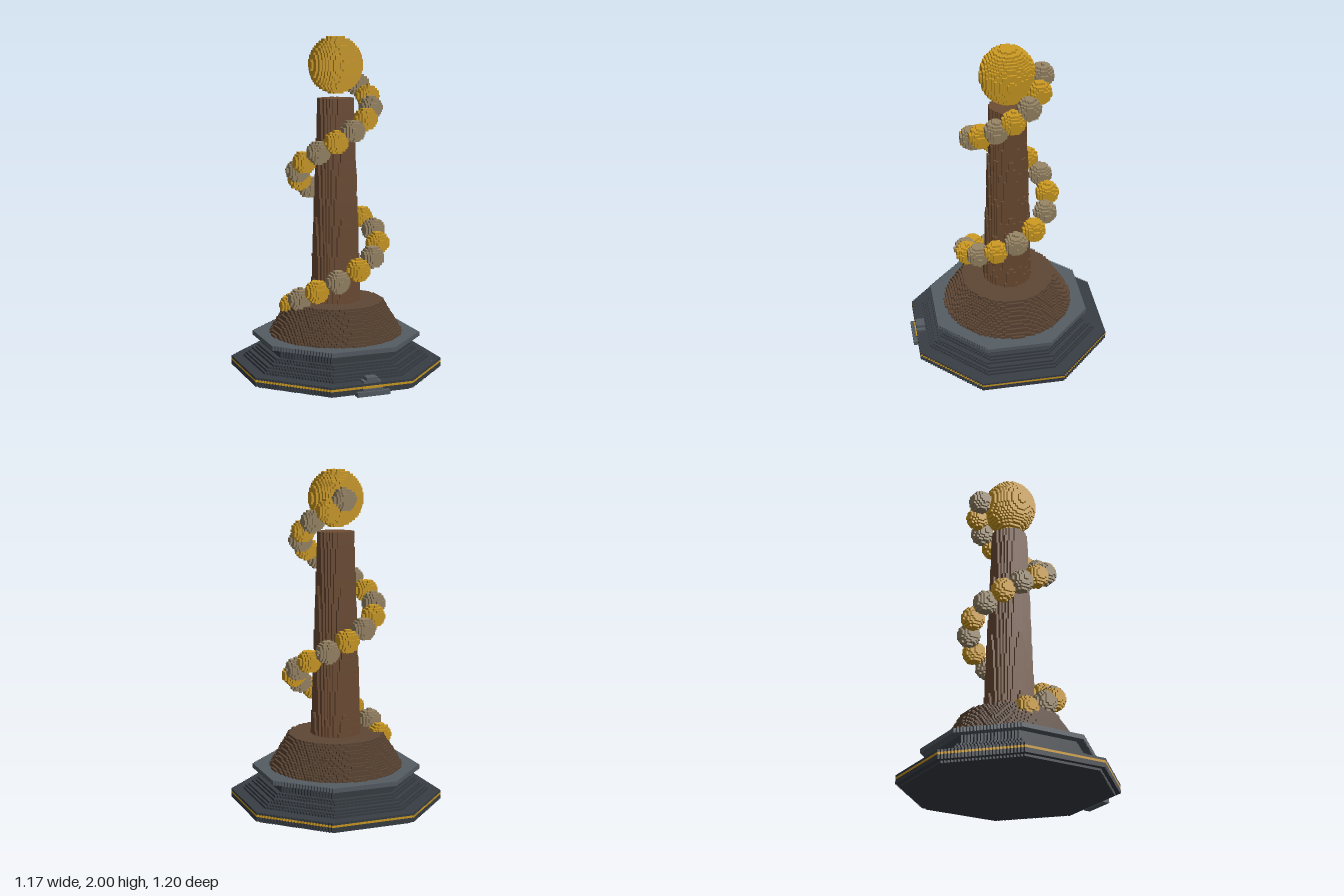
import * as THREE from 'three';

const S = 1 / 75; // edge length of one cube of the blocky style

const material = (name, color) => {
  const m = new THREE.MeshStandardMaterial({ color });
  m.name = name;
  return m;
};

// Outer faces of all grid cubes whose centres satisfy inside(x, y, z).
// Neighbouring faces along a row are joined into one long quad.
function blocks(inside, min, max) {
  const lo = min.map((n) => Math.floor(n / S + 0.01));
  const hi = max.map((n) => Math.ceil(n / S - 0.01));
  const size = lo.map((n, k) => hi[k] - n + 2);
  const filled = new Uint8Array(size[0] * size[1] * size[2]);
  const at = (c) => ((c[0] - lo[0] + 1) * size[1] + c[1] - lo[1] + 1) * size[2] + c[2] - lo[2] + 1;
  for (let i = lo[0]; i < hi[0]; i++)
    for (let j = lo[1]; j < hi[1]; j++)
      for (let k = lo[2]; k < hi[2]; k++)
        if (inside((i + 0.5) * S, (j + 0.5) * S, (k + 0.5) * S)) filled[at([i, j, k])] = 1;

  const pos = [], nor = [], idx = [];
  for (let d = 0; d < 3; d++) {
    const u = (d + 1) % 3, v = (d + 2) % 3;
    for (const sign of [1, -1]) {
      const exposed = (c) => {
        const n = [...c];
        n[d] += sign;
        return filled[at(c)] && !filled[at(n)];
      };
      const quad = (c, start, end) => {
        const base = pos.length / 3;
        for (const [a, b] of [[start, 0], [end, 0], [end, 1], [start, 1]]) {
          const p = [0, 0, 0], n = [0, 0, 0];
          p[d] = (c[d] + (sign > 0 ? 1 : 0)) * S;
          p[u] = a * S;
          p[v] = (c[v] + b) * S;
          n[d] = sign;
          pos.push(...p);
          nor.push(...n);
        }
        const order = sign > 0 ? [0, 1, 2, 0, 2, 3] : [0, 2, 1, 0, 3, 2];
        idx.push(...order.map((o) => base + o));
      };
      const c = [0, 0, 0];
      for (c[d] = lo[d]; c[d] < hi[d]; c[d]++)
        for (c[v] = lo[v]; c[v] < hi[v]; c[v]++) {
          let start = null;
          for (c[u] = lo[u]; c[u] <= hi[u]; c[u]++) {
            const show = c[u] < hi[u] && exposed(c);
            if (show && start === null) start = c[u];
            if (!show && start !== null) {
              quad(c, start, c[u]);
              start = null;
            }
          }
        }
    }
  }
  const g = new THREE.BufferGeometry();
  g.setAttribute('position', new THREE.Float32BufferAttribute(pos, 3));
  g.setAttribute('normal', new THREE.Float32BufferAttribute(nor, 3));
  g.setIndex(idx);
  return g;
}

export function createModel() {
  const gold = material('gold', 0xcf9c22);
  const stone = material('beadStone', 0x998666);
  const wood = material('columnWood', 0x6e4d34);
  const darkWood = material('footWood', 0x5e4735);
  const slate = material('slate', 0x555d64);
  const darkSlate = material('darkSlate', 0x383e45);

  const model = new THREE.Group();
  model.name = 'beadedColumn';
  const body = new THREE.Group();
  body.name = 'body';
  body.position.z = -S;
  model.add(body);

  const add = (name, geometry, mat, parent = body) => {
    const mesh = new THREE.Mesh(geometry, mat);
    mesh.name = name;
    parent.add(mesh);
    return mesh;
  };

  // Eight-sided slab between two cube layers; a is half its width
  const octagon = (name, mat, a, from, to) =>
    add(name, blocks(
      (x, y, z) => Math.max(Math.abs(x), Math.abs(z)) <= a && Math.abs(x) + Math.abs(z) <= a * Math.SQRT2,
      [-a, from * S, -a], [a, to * S, a]), mat);

  // Round tapered solid between two heights
  const taper = (name, mat, r0, r1, y0, y1) =>
    add(name, blocks(
      (x, y, z) => Math.hypot(x, z) <= r0 + ((r1 - r0) * (y - y0)) / (y1 - y0),
      [-r0, y0, -r0], [r0, y1, r0]), mat);

  const ellipsoid = (name, mat, c, r) =>
    add(name, blocks(
      (x, y, z) => Math.hypot((x - c[0]) / r[0], (y - c[1]) / r[1], (z - c[2]) / r[2]) <= 1,
      c.map((n, k) => n - r[k]), c.map((n, k) => n + r[k])), mat);

  // Base slab with a gold band
  octagon('baseUnderside', darkSlate, 0.56, 0, 1);
  octagon('baseLower', darkSlate, 0.586, 1, 3);
  octagon('baseBand', gold, 0.586, 3, 4);
  octagon('baseUpper', darkSlate, 0.586, 4, 5);

  // Stepped plinth and its rim
  [[0.515, 5, 6], [0.5, 6, 7], [0.487, 7, 8], [0.472, 8, 9], [0.45, 9, 10], [0.435, 10, 11], [0.42, 11, 15]]
    .forEach(([a, from, to], i) => octagon(`plinthStep${i + 1}`, darkSlate, a, from, to));
  octagon('plinthRim', slate, 0.465, 15, 17);

  // Flared foot and column
  taper('foot', darkWood, 0.4, 0.28, 17 * S, 32 * S);
  taper('column', wood, 0.145, 0.102, 32 * S, 123 * S);

  // Top ball
  ellipsoid('topBall', gold, [0, 1.835, 0], [0.156, 0.167, 0.156]);

  // Beads winding up around the column
  for (let i = 0; i < 24; i++) {
    const angle = (20 - i) * 0.48, r = 0.272 - 0.0034 * i;
    ellipsoid(`bead${i + 1}`, i % 2 ? stone : gold,
      [r * Math.cos(angle), 0.4 + 0.0624 * i, r * Math.sin(angle)], [0.066, 0.066, 0.066]);
  }

  // Front plaque and latch: half width, y range, z range
  [['plaqueFoot', 0.1, 0, 0.027, 0.56, 0.6],
    ['plaqueStep', 0.06, 0.027, 0.04, 0.56, 0.587],
    ['latchBase', 0.053, 0.067, 0.08, 0.52, 0.573],
    ['latchTop', 0.033, 0.08, 0.1, 0.52, 0.573]].forEach(([name, w, y0, y1, z0, z1]) => {
    add(name, new THREE.BoxGeometry(2 * w, y1 - y0, z1 - z0), slate, model)
      .position.set(0, (y0 + y1) / 2, (z0 + z1) / 2);
  });
  add('plaqueBand', new THREE.BoxGeometry(0.12, S, 0.008), gold, model).position.set(0, 3.5 * S, 0.577);

  return model;
}
